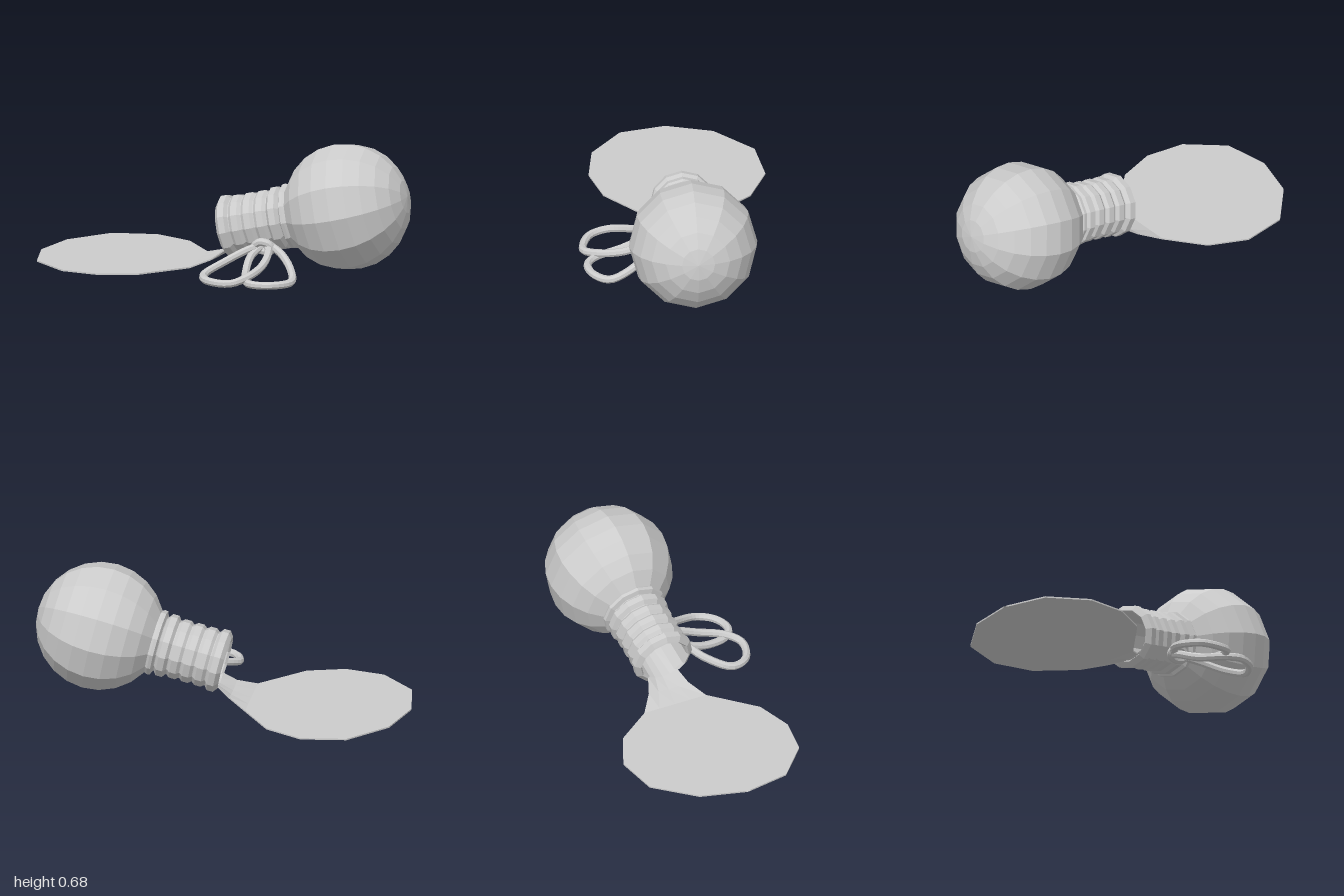
import * as THREE from 'three';

const TILT = THREE.MathUtils.degToRad(13);
const Z0 = -0.04; // depth of the bulb's axis

const material = () => new THREE.MeshStandardMaterial({
  color: 0xcccccc, flatShading: true, side: THREE.DoubleSide,
});

function addMesh(parent, name, geometry) {
  const mesh = new THREE.Mesh(geometry, material());
  mesh.name = name;
  parent.add(mesh);
  return mesh;
}

// Points of a sphere profile between two angles from the pole
function arc(radius, from, to, steps) {
  return Array.from({ length: steps + 1 }, (_, i) => {
    const a = THREE.MathUtils.degToRad(from + (to - from) * i / steps);
    return new THREE.Vector2(Math.max(0, radius * Math.sin(a)), radius * Math.cos(a));
  });
}

// Hollow glass globe with a ribbed neck, turned as one closed profile
function bulbGeometry() {
  const p = (r, s) => new THREE.Vector2(r, s);
  const points = [...arc(0.31, 0, 150, 10), p(0.13, -0.31), p(0.13, -0.675), p(0.14, -0.687)];
  for (let i = 0; i < 5; i++) {
    const a = -0.682 + i * 0.07;
    const r = i === 0 || i === 4 ? 0.168 : 0.16;
    points.push(p(0.147, a), p(r, a + 0.016), p(r, a + 0.05), p(0.147, a + 0.066));
  }
  points.push(p(0.15, -0.332), p(0.174, -0.322), p(0.176, -0.305));
  points.push(...arc(0.338, 150, 0, 10));
  return new THREE.LatheGeometry(points, 12);
}

// Thin sheet lofted from rows: back x, back z, front x, front z, middle y, edge y
function spillGeometry() {
  const rows = [
    [-1, -0.05, -1, -0.03, 0.009, 0.009],
    [-0.93, -0.29, -0.96, 0.2, 0.009, 0.009],
    [-0.74, -0.49, -0.78, 0.365, 0.009, 0.009],
    [-0.5, -0.525, -0.57, 0.4, 0.009, 0.009],
    [-0.3, -0.43, -0.37, 0.34, 0.009, 0.009],
    [-0.15, -0.23, -0.15, 0.13, 0.009, 0.009],
    [-0.05, -0.155, -0.05, 0.075, 0.035, 0.045],
    [0.02, -0.125, 0.02, 0.045, 0.072, 0.095],
    [0.2, -0.11, 0.2, 0.03, 0.112, 0.13],
  ];
  const N = 4; // strips across the sheet
  const ring = 2 * (N + 1);
  const pos = [], idx = [];
  for (const [xb, zb, xf, zf, mid, edge] of rows) {
    for (let k = 0; k < ring; k++) {
      const top = k <= N;
      const t = (top ? k : ring - 1 - k) / N;
      const y = mid + (edge - mid) * (2 * t - 1) ** 2;
      pos.push(xb + (xf - xb) * t, y - (top ? 0 : 0.008), zb + (zf - zb) * t);
    }
  }
  for (let i = 0; i < rows.length - 1; i++) {
    for (let k = 0; k < ring; k++) {
      const a = i * ring + k, b = i * ring + (k + 1) % ring;
      idx.push(a, b, a + ring, b, b + ring, a + ring);
    }
  }
  const g = new THREE.BufferGeometry();
  g.setAttribute('position', new THREE.Float32BufferAttribute(pos, 3));
  g.setIndex(idx);
  g.computeVertexNormals();
  return g;
}

function cord(points, closed = false) {
  const curve = new THREE.CatmullRomCurve3(points.map(q => new THREE.Vector3(...q)), closed);
  return new THREE.TubeGeometry(curve, 40, 0.021, 8, closed);
}

export function createModel() {
  const model = new THREE.Group();
  model.name = 'tippedBulbVase';

  // Glass bulb lying on its side, mouth toward -x
  const bulb = addMesh(model, 'bulbAndNeck', bulbGeometry());
  bulb.rotation.z = TILT - Math.PI / 2;
  bulb.position.set(0.66, 0.346, Z0);

  // Liquid running out of the mouth into a flat pool
  addMesh(model, 'spilledLiquid', spillGeometry());

  // Cord bow: two crossing loops resting on the ground
  const bow = new THREE.Group();
  bow.name = 'bow';
  model.add(bow);
  addMesh(bow, 'rightBowLoop', cord([
    [0.23, 0.14, 0.08], [0.17, 0.125, 0.15], [0.07, 0.075, 0.23], [-0.01, 0.03, 0.35],
    [0.03, 0.022, 0.45], [0.17, 0.024, 0.495], [0.24, 0.045, 0.43],
    [0.285, 0.075, 0.29], [0.29, 0.12, 0.17], [0.26, 0.145, 0.08],
  ]));
  addMesh(bow, 'leftBowLoop', cord([
    [0.23, 0.135, 0.08], [0.195, 0.1, 0.16], [0.2, 0.045, 0.29], [0.245, 0.022, 0.44],
    [0.31, 0.022, 0.485], [0.41, 0.022, 0.46], [0.47, 0.025, 0.38],
    [0.44, 0.06, 0.27], [0.36, 0.115, 0.16], [0.27, 0.145, 0.08],
  ]));
  addMesh(bow, 'bowKnot', cord([
    [0.2, 0.14, 0.11], [0.23, 0.165, 0.12], [0.28, 0.155, 0.12], [0.29, 0.12, 0.11],
    [0.25, 0.11, 0.09], [0.21, 0.12, 0.09],
  ], true));

  return model;
}
